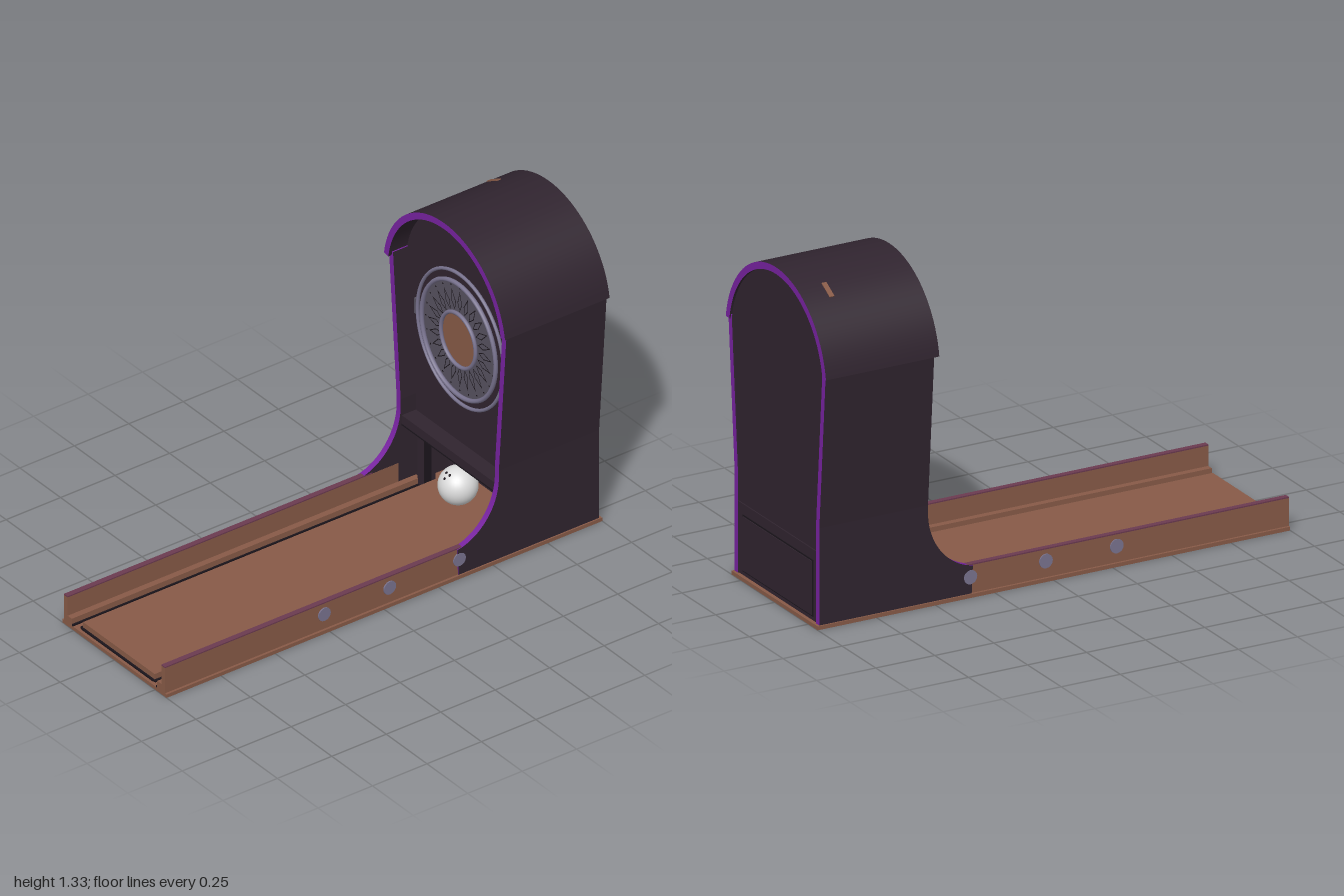
import * as THREE from 'three';
import { toCreasedNormals } from 'three/addons/utils/BufferGeometryUtils.js';

export function createModel() {
  const model = new THREE.Group();
  const paint = (name, color, side = THREE.FrontSide) => {
    const m = new THREE.MeshStandardMaterial({ color, side });
    m.name = name;
    return m;
  };
  const dark = paint('darkCabinet', 0x30242f);
  const black = paint('shadowLine', 0x1b151c);
  const purple = paint('purpleTrim', 0x7722a0);
  const wood = paint('brownWood', 0x875a47);
  const plum = paint('plumRailCap', 0x6b3a50);
  const grey = paint('greyTarget', 0x57525f, THREE.DoubleSide);
  const lilac = paint('lilacMetal', 0x79738f);
  const white = paint('whiteBall', 0xdcdcdc);

  const add = (name, geo, mat, x = 0, y = 0, z = 0, parent = model) => {
    const m = new THREE.Mesh(geo, mat);
    m.name = name;
    m.position.set(x, y, z);
    parent.add(m);
    return m;
  };
  // Box given by its limits
  const box = (name, mat, x0, x1, y0, y1, z0, z1) =>
    add(name, new THREE.BoxGeometry(x1 - x0, y1 - y0, z1 - z0), mat,
      (x0 + x1) / 2, (y0 + y1) / 2, (z0 + z1) / 2);
  const extrude = (shape, depth, curveSegments = 24) =>
    toCreasedNormals(new THREE.ExtrudeGeometry(shape, { depth, bevelEnabled: false, curveSegments }), 0.6);

  // Lane
  box('basePlate', wood, -0.32, 0.32, 0, 0.015, -1, 1);
  box('lane', wood, -0.22, 0.22, 0.015, 0.045, -0.75, 0.98);
  box('laneFrontGap', black, -0.22, 0.22, 0.015, 0.022, 0.98, 0.988);
  for (const s of [-1, 1]) {
    const strip = (name, mat, a, b, y0, y1, z0, z1) =>
      box(name, mat, Math.min(s * a, s * b), Math.max(s * a, s * b), y0, y1, z0, z1);
    strip('sideRail', wood, 0.288, 0.31, 0.015, 0.125, -0.52, 1);
    strip('railCap', plum, 0.288, 0.31, 0.125, 0.13, -0.4, 1);
    strip('gutterLedge', wood, 0.262, 0.288, 0.015, 0.045, -0.6, 1);
    strip('laneGap', black, 0.22, 0.23, 0.015, 0.022, -0.6, 0.985);
    strip('gutterGap', black, 0.255, 0.262, 0.015, 0.022, -0.6, 1);
    for (const z of [0.27, -0.03, -0.35]) {
      const bolt = add('railBolt', new THREE.CylinderGeometry(0.028, 0.028, 0.008, 16), lilac, s * 0.311, 0.08, z);
      bolt.rotation.z = Math.PI / 2;
    }
  }

  // Side panels: straight flared top over a foot with a curved front
  const foot = new THREE.Shape();
  foot.moveTo(-0.99, 0.015);
  foot.lineTo(-0.345, 0.015);
  foot.lineTo(-0.34, 0.125);
  foot.bezierCurveTo(-0.44, 0.14, -0.53, 0.24, -0.53, 0.37);
  foot.lineTo(-0.53, 0.4);
  foot.lineTo(-0.99, 0.4);
  const upper = new THREE.Shape();
  upper.moveTo(-0.99, 0.4);
  upper.lineTo(-0.53, 0.4);
  upper.lineTo(-0.53, 1.02);
  upper.lineTo(-0.99, 1.02);
  for (const shape of [foot, upper]) {
    for (const s of [-1, 1]) {
      const geo = extrude(shape, 0.025);
      geo.rotateY(-Math.PI / 2);
      const p = geo.attributes.position;
      // After the turn the profile runs along x and must face z
      for (let i = 0; i < p.count; i++) {
        const y = p.getY(i);
        p.setX(i, p.getX(i) + (s > 0 ? 0.314 : -0.289) + s * Math.max(0, y - 0.4) * 0.076);
      }
      geo.computeVertexNormals();
      add('sidePanel', toCreasedNormals(geo, 0.6), [dark, purple]);
    }
  }

  // Arched hood
  const R = 0.376, cy = 0.95, a0 = 0.15;
  const arch = new THREE.Shape();
  arch.absarc(0, cy, R, a0, Math.PI - a0, false);
  arch.absarc(0, cy, R - 0.027, Math.PI - a0, a0, true);
  add('hood', extrude(arch, 0.48, 20), [purple, dark], 0, 0, -0.995);

  // Worn streaks on the hood
  const streak = (mat, from, to, z, w) => {
    const g = new THREE.CylinderGeometry(R + 0.002, R + 0.002, w, 12, 1, true, from, to - from);
    g.rotateX(-Math.PI / 2);
    g.rotateZ(Math.PI);
    return add('hoodStreak', g, mat, 0, cy, z);
  };
  streak(grey, -0.25, 0.55, -0.86, 0.028).scale.x = 1;
  const chip = box('hoodChip', wood, -0.22, -0.15, 1.276, 1.28, -0.89, -0.87);
  chip.rotation.z = 0.52;

  // Board and back wall share an arched outline
  const wall = (bottom) => {
    const s = new THREE.Shape();
    s.moveTo(-0.292, bottom);
    s.lineTo(0.292, bottom);
    s.lineTo(0.292, 0.4);
    s.lineTo(0.338, 1.01);
    s.absarc(0, cy, R - 0.024, 0.17, Math.PI - 0.17, false);
    s.lineTo(-0.338, 1.01);
    s.lineTo(-0.292, 0.4);
    return s;
  };
  add('targetBoard', extrude(wall(0.3), 0.02), dark, 0, 0, -0.62);
  add('backWall', extrude(wall(0.015), 0.02), dark, 0, 0, -0.985);

  // Ball opening
  box('ledge', dark, -0.289, 0.289, 0.29, 0.328, -0.62, -0.535);
  box('ledgeLine', black, -0.289, 0.289, 0.286, 0.291, -0.6, -0.533);
  box('openingBack', dark, -0.289, 0.289, 0.015, 0.3, -0.77, -0.75);
  box('openingTop', dark, -0.289, 0.289, 0.29, 0.31, -0.76, -0.6);
  for (const s of [-1, 1]) {
    box('openingPost', dark, s * 0.244 - 0.021, s * 0.244 + 0.021, 0.015, 0.29, -0.64, -0.59);
    box('postLine', black, s * 0.222 - 0.002, s * 0.222 + 0.002, 0.02, 0.29, -0.62, -0.588);
  }

  // Rear door
  box('doorRail', dark, -0.289, 0.289, 0.28, 0.3, -0.99, -0.98);
  box('doorOutline', black, -0.262, 0.262, 0.03, 0.255, -0.987, -0.98);
  box('door', dark, -0.256, 0.256, 0.036, 0.249, -0.99, -0.98);

  // Round target, slightly taller than wide
  const target = new THREE.Group();
  target.name = 'target';
  target.position.set(0, 0.79, -0.6);
  target.scale.x = 0.94;
  model.add(target);
  const ring = (name, r, tube, z) =>
    add(name, new THREE.TorusGeometry(r, tube, 8, 64), lilac, 0, 0, z, target);
  ring('outerRing', 0.281, 0.007, 0.012);
  ring('innerRing', 0.242, 0.009, 0.02);
  ring('bullseyeRing', 0.113, 0.008, 0.022);
  add('targetDisc', new THREE.RingGeometry(0.1, 0.242, 64), grey, 0, 0, 0.012, target);
  add('bullseye', new THREE.CircleGeometry(0.11, 48), wood, 0, 0, 0.016, target);
  const petal = new THREE.Shape();
  petal.moveTo(0, 0.12);
  petal.lineTo(0.015, 0.155);
  petal.lineTo(0, 0.208);
  petal.lineTo(-0.015, 0.155);
  const inside = new THREE.Path();
  inside.moveTo(0, 0.128);
  inside.lineTo(-0.011, 0.155);
  inside.lineTo(0, 0.196);
  inside.lineTo(0.011, 0.155);
  petal.holes.push(inside);
  const petalGeo = new THREE.ShapeGeometry(petal);
  const dotGeo = new THREE.CircleGeometry(0.004, 10);
  for (let i = 0; i < 24; i++) {
    const a = i * Math.PI / 12;
    add('petal', petalGeo, black, 0, 0, 0.015, target).rotation.z = a;
    add('rimDot', dotGeo, black, Math.sin(a) * 0.222, Math.cos(a) * 0.222, 0.015, target);
  }
  for (const s of [-1, 1])
    box('targetBracket', grey, s * 0.275 - 0.012, s * 0.275 + 0.012, 0.757, 0.823, -0.6, -0.59);

  // Ball with finger holes
  const ball = new THREE.Group();
  ball.name = 'ball';
  ball.position.set(0, 0.157, -0.577);
  model.add(ball);
  add('ballBody', new THREE.SphereGeometry(0.076, 32, 24), white, 0, 0, 0, ball);
  for (const [x, y] of [[-0.014, 0.062], [0.008, 0.062], [-0.003, 0.048]]) {
    const n = new THREE.Vector3(x, y, Math.sqrt(0.0765 ** 2 - x * x - y * y));
    const hole = add('fingerHole', new THREE.CircleGeometry(0.006, 12), black, n.x, n.y, n.z, ball);
    hole.quaternion.setFromUnitVectors(new THREE.Vector3(0, 0, 1), n.clone().normalize());
  }
  return model;
}
